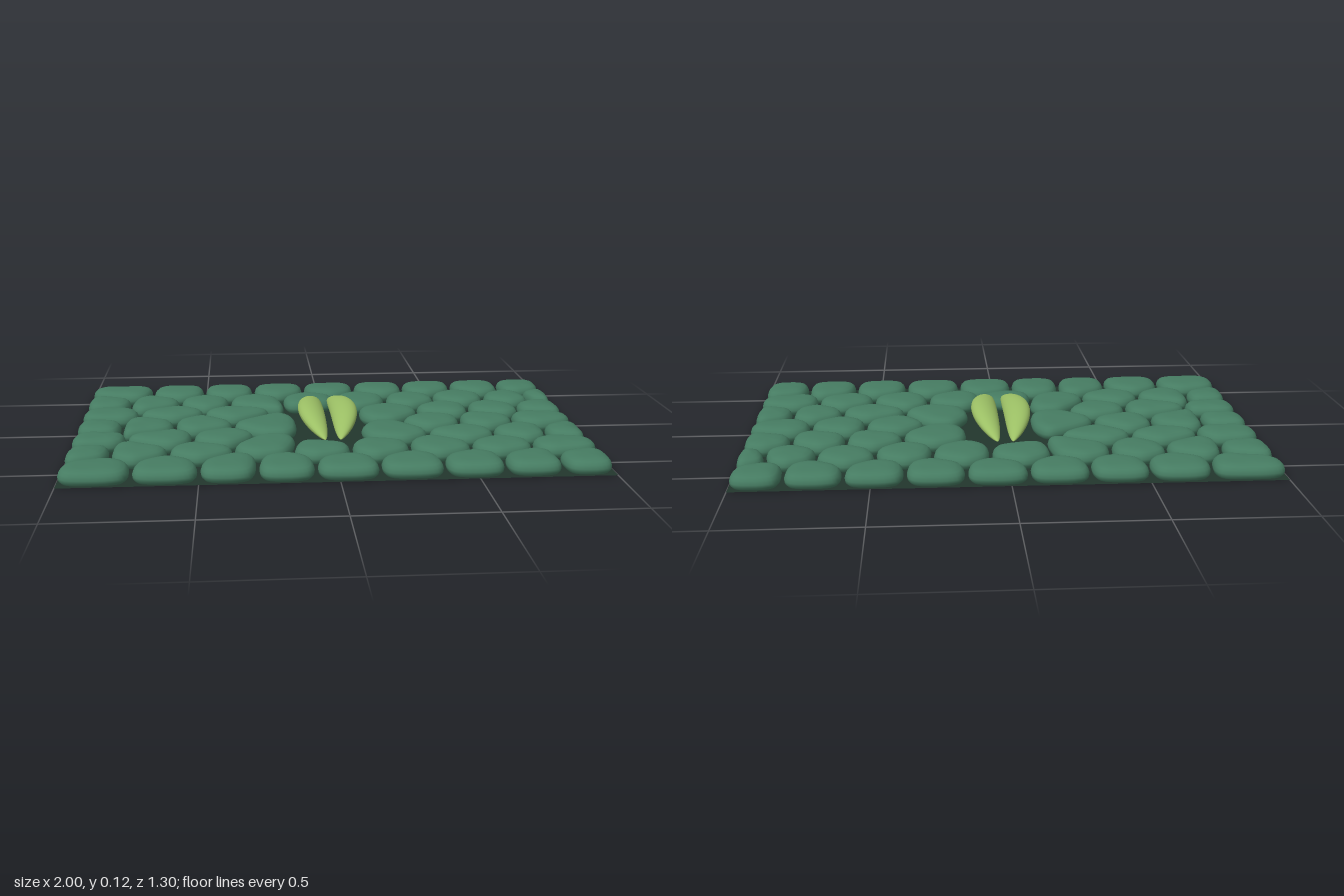
import * as THREE from 'three';

const HALF_X = 1, HALF_Z = 0.65, GAP = 0.006;

// Scale centres, row by row from back to front: [x, z]
const rows = [
  [[-.86, -.56], [-.61, -.54], [-.40, -.55], [-.18, -.555], [.045, -.56], [.27, -.555], [.485, -.555], [.71, -.55], [.915, -.55]],
  [[-.92, -.37], [-.71, -.35], [-.50, -.36], [-.29, -.35], [-.05, -.38], [.17, -.37], [.385, -.345], [.60, -.38], [.82, -.35], [.98, -.38]],
  [[-.90, -.19], [-.63, -.20], [-.37, -.17], [.28, -.16], [.50, -.195], [.72, -.185], [.92, -.195]],
  [[-.92, 0], [-.72, 0], [-.505, -.02], [-.25, 0], [.435, -.01], [.65, 0], [.87, -.01]],
  [[-.93, .175], [-.65, .175], [-.42, .18], [.245, .14], [.53, .18], [.76, .165], [.94, .17]],
  [[-.93, .345], [-.74, .345], [-.50, .355], [-.26, .30], [-.04, .35], [.17, .355], [.41, .35], [.635, .35], [.88, .355]],
  [[-.87, .53], [-.615, .53], [-.39, .52], [-.19, .53], [.03, .535], [.27, .53], [.50, .53], [.715, .535], [.915, .53]],
];
// Empty cells that keep the ground clear around the pods
const clearing = [[0, -.17], [.01, 0], [.01, .18]];

// Scale cross-section: [inset from outline, height]
const profile = [[.012, 0], [.002, .01], [0, .022], [.005, .036], [.016, .046], [.035, .052], [.06, .0545]];

// Keep the part of a polygon nearer to a than to b, less half the gap
function clip(poly, a, b) {
  const nx = b[0] - a[0], nz = b[1] - a[1], len = Math.hypot(nx, nz);
  const dist = p => ((p[0] - (a[0] + b[0]) / 2) * nx + (p[1] - (a[1] + b[1]) / 2) * nz) / len + GAP;
  const out = [];
  poly.forEach((p, i) => {
    const q = poly[(i + 1) % poly.length], dp = dist(p), dq = dist(q);
    if (dp <= 0) out.push(p);
    if ((dp < 0 && dq > 0) || (dp > 0 && dq < 0)) {
      const t = dp / (dp - dq);
      out.push([p[0] + (q[0] - p[0]) * t, p[1] + (q[1] - p[1]) * t]);
    }
  });
  return out;
}

// Rounded outline of the cell around one centre
function cellOutline(centre, all) {
  const x = HALF_X - 0.002, z = HALF_Z - 0.002;
  let poly = [[-x, -z], [-x, z], [x, z], [x, -z]];
  for (const other of all) if (other !== centre) poly = clip(poly, centre, other);
  poly = poly.filter((p, i) => {
    const q = poly[(i + 1) % poly.length];
    return Math.hypot(p[0] - q[0], p[1] - q[1]) > 0.02;
  });
  for (let k = 0; k < 3; k++) {
    const cut = k === 0 ? 0.21 : 0.25;
    poly = poly.flatMap((p, i) => {
      const q = poly[(i + 1) % poly.length];
      return [cut, 1 - cut].map(t => [p[0] + (q[0] - p[0]) * t, p[1] + (q[1] - p[1]) * t]);
    });
  }
  return poly;
}

// Pillow-shaped scale: rings of the outline drawn in towards the middle
function scaleGeometry(outline) {
  const n = outline.length, pos = [], index = [];
  const cx = outline.reduce((s, p) => s + p[0], 0) / n;
  const cz = outline.reduce((s, p) => s + p[1], 0) / n;
  for (const [inset, y] of profile) {
    for (const [x, z] of outline) {
      const f = inset / Math.max(Math.hypot(x - cx, z - cz), 0.07);
      pos.push(x + (cx - x) * f, y, z + (cz - z) * f);
    }
  }
  pos.push(cx, 0.055, cz);
  const apex = profile.length * n, last = apex - n;
  for (let i = 0; i < n; i++) {
    const j = (i + 1) % n;
    for (let r = 0; r < last; r += n) {
      index.push(r + i, r + j, r + n + i, r + j, r + n + j, r + n + i);
    }
    index.push(last + i, last + j, apex);
  }
  const g = new THREE.BufferGeometry();
  g.setAttribute('position', new THREE.Float32BufferAttribute(pos, 3));
  g.setIndex(index);
  g.computeVertexNormals();
  return g;
}

// Arched, pointed pod: a sphere stretched along a bowed centre line
function podGeometry(side) {
  const g = new THREE.SphereGeometry(1, 32, 40), p = g.attributes.position;
  const tilt = side * 0.25;
  for (let i = 0; i < p.count; i++) {
    const t = p.getY(i), bow = Math.max(0, 1 - t * t), taper = Math.pow(bow, 0.2);
    const u = p.getX(i) * 0.054 * taper, v = p.getZ(i) * 0.035 * taper;
    p.setXYZ(i,
      side * (0.03 + 0.035 * bow) + u * Math.cos(tilt) - v * Math.sin(tilt),
      0.055 + 0.031 * bow + u * Math.sin(tilt) + v * Math.cos(tilt),
      -0.31 * t);
  }
  g.computeVertexNormals();
  return g;
}

export function createModel() {
  const model = new THREE.Group();
  const material = (name, color, side = THREE.FrontSide) => {
    const m = new THREE.MeshStandardMaterial({ color, side });
    m.name = name;
    return m;
  };
  const scaleGreen = material('scale green', 0x467c62);
  const podGreen = material('pod green', 0x9cc065);
  const groundGreen = material('dark ground green', 0x22362d, THREE.DoubleSide);

  const add = (parent, name, geometry, mat) => {
    const mesh = new THREE.Mesh(geometry, mat);
    mesh.name = name;
    parent.add(mesh);
    return mesh;
  };

  // Flat ground sheet
  add(model, 'groundSheet', new THREE.PlaneGeometry(2 * HALF_X, 2 * HALF_Z).rotateX(-Math.PI / 2), groundGreen);

  // Field of scales
  const scales = new THREE.Group();
  scales.name = 'scales';
  model.add(scales);
  const centres = rows.flat(), all = [...centres, ...clearing];
  for (const c of centres) add(scales, 'scale', scaleGeometry(cellOutline(c, all)), scaleGreen);

  // Pair of pods
  add(model, 'leftPod', podGeometry(1), podGreen);
  add(model, 'rightPod', podGeometry(-1), podGreen);
  return model;
}
